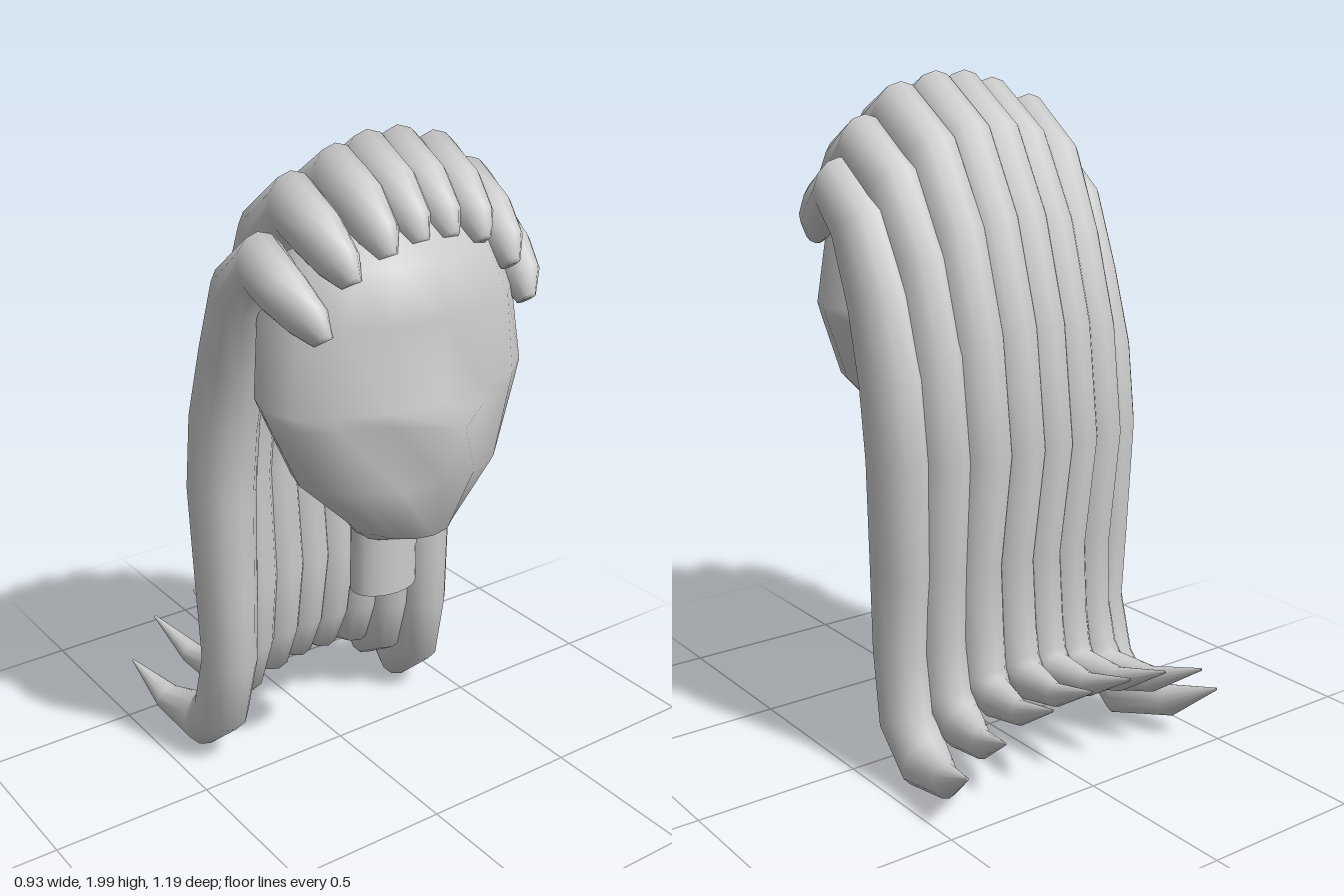
import * as THREE from 'three';

// Skin a stack of equal rings (arrays of [x, y, z]) into a smooth closed surface
function loft(rings) {
  const n = rings[0].length;
  const centre = (r) => [0, 1, 2].map((k) => r.reduce((s, p) => s + p[k], 0) / n);
  const pos = rings.flat(2), idx = [];
  for (let i = 0; i < rings.length - 1; i++) {
    for (let j = 0; j < n; j++) {
      const k = (j + 1) % n, a = i * n + j, b = i * n + k, c = a + n, d = b + n;
      idx.push(a, b, c, b, d, c);
    }
  }
  // end caps
  const start = rings.length * n, last = start - n;
  pos.push(...centre(rings[0]), ...centre(rings[rings.length - 1]));
  for (let j = 0; j < n; j++) {
    const k = (j + 1) % n;
    idx.push(start, k, j, start + 1, last + j, last + k);
  }
  const g = new THREE.BufferGeometry();
  g.setAttribute('position', new THREE.Float32BufferAttribute(pos, 3));
  g.setIndex(idx);
  g.computeVertexNormals();
  return g;
}

// Centre lines as [z, y, radius]: middle lock and outermost lock
const MIDDLE = [
  [0.41, 1.745, 0.03], [0.37, 1.79, 0.062], [0.29, 1.855, 0.08], [0.2, 1.905, 0.095],
  [0.05, 1.795, 0.1], [-0.07, 1.575, 0.1], [-0.155, 1.29, 0.1], [-0.197, 0.96, 0.1],
  [-0.152, 0.62, 0.095], [-0.18, 0.4, 0.088], [-0.215, 0.295, 0.08], [-0.28, 0.27, 0.06],
  [-0.42, 0.28, 0.035], [-0.59, 0.355, 0.004],
];
const OUTER = [
  [0.395, 1.52, 0.03], [0.355, 1.57, 0.062], [0.28, 1.625, 0.075], [0.2, 1.685, 0.085],
  [0.085, 1.585, 0.095], [0, 1.38, 0.105], [-0.06, 1.17, 0.11], [-0.088, 0.95, 0.11],
  [-0.082, 0.62, 0.1], [-0.075, 0.38, 0.092], [-0.12, 0.18, 0.092], [-0.215, 0.085, 0.085],
  [-0.37, 0.1, 0.05], [-0.52, 0.18, 0.004],
];

// Each lock: blend towards OUTER, then x at the front end, crown, length, bend and tip
const LOCKS = [
  [0.95, -0.33, -0.385, -0.355, -0.37, -0.46],
  [0.33, -0.25, -0.28, -0.25, -0.26, -0.35],
  [0.1, -0.14, -0.14, -0.14, -0.14, -0.19],
  [0, -0.04, -0.04, -0.04, -0.04, -0.05],
  [0, 0.06, 0.06, 0.06, 0.06, 0.09],
  [0.12, 0.17, 0.18, 0.17, 0.18, 0.22],
  [0.5, 0.28, 0.3, 0.27, 0.28, 0.36],
  [1, 0.35, 0.385, 0.37, 0.39, 0.46],
];

function lockGeometry([s, front, crown, length, bend, tip]) {
  const mix = THREE.MathUtils.lerp;
  const xs = [front, mix(front, crown, 0.35), mix(front, crown, 0.75), crown, mix(crown, length, 0.4),
    length, length, length, length, length, mix(length, bend, 0.6), bend, mix(bend, tip, 0.5), tip];
  const pts = MIDDLE.map((m, i) => m.map((v, k) => mix(v, OUTER[i][k], s)));
  const rings = pts.map(([z, y, r], i) => {
    const p = pts[Math.max(i - 1, 0)], q = pts[Math.min(i + 1, pts.length - 1)];
    const len = Math.hypot(q[0] - p[0], q[1] - p[1]);
    const tz = (q[0] - p[0]) / len, ty = (q[1] - p[1]) / len;
    return Array.from({ length: 12 }, (_, j) => {
      const a = (j / 12) * Math.PI * 2, u = Math.cos(a) * r * 0.9, v = Math.sin(a) * r;
      return [xs[i] + u, y + v * tz, z - v * ty];
    });
  });
  return loft(rings);
}

// Head levels: y, half width, front z, back z, nose projection
function headGeometry() {
  const levels = [
    [0.88, 0.11, 0.36, 0.19, 0], [0.93, 0.15, 0.475, 0.125, 0], [1.1, 0.325, 0.505, 0.095, 0],
    [1.29, 0.405, 0.5, 0.05, 0.095], [1.33, 0.42, 0.5, 0.04, 0], [1.56, 0.385, 0.5, 0, 0],
    [1.7, 0.31, 0.46, 0.02, 0], [1.8, 0.18, 0.38, 0.08, 0],
  ];
  return loft(levels.map(([y, w, zf, zb, nose]) => Array.from({ length: 16 }, (_, j) => {
    const a = (j / 16) * Math.PI * 2;
    const z = (zf + zb) / 2 + (zf - zb) / 2 * Math.cos(a) + (j === 0 ? nose : 0);
    return [-0.02 + w * Math.sin(a), y, z];
  })));
}

export function createModel() {
  const group = new THREE.Group();
  const material = new THREE.MeshStandardMaterial({ color: 0xcccccc });
  const add = (name, geometry, parent = group) => {
    const mesh = new THREE.Mesh(geometry, material);
    mesh.name = name;
    parent.add(mesh);
    return mesh;
  };

  add('head', headGeometry());

  // oval neck
  const neck = add('neck', new THREE.CylinderGeometry(0.105, 0.105, 0.25, 24));
  neck.scale.z = 0.69;
  neck.position.set(-0.04, 0.825, 0.272);

  // locks swept over the crown, down the back and flicked out at the tips
  const hair = new THREE.Group();
  hair.name = 'hair';
  group.add(hair);
  LOCKS.forEach((lock, i) => add('hairLock' + (i + 1), lockGeometry(lock), hair));

  return group;
}
